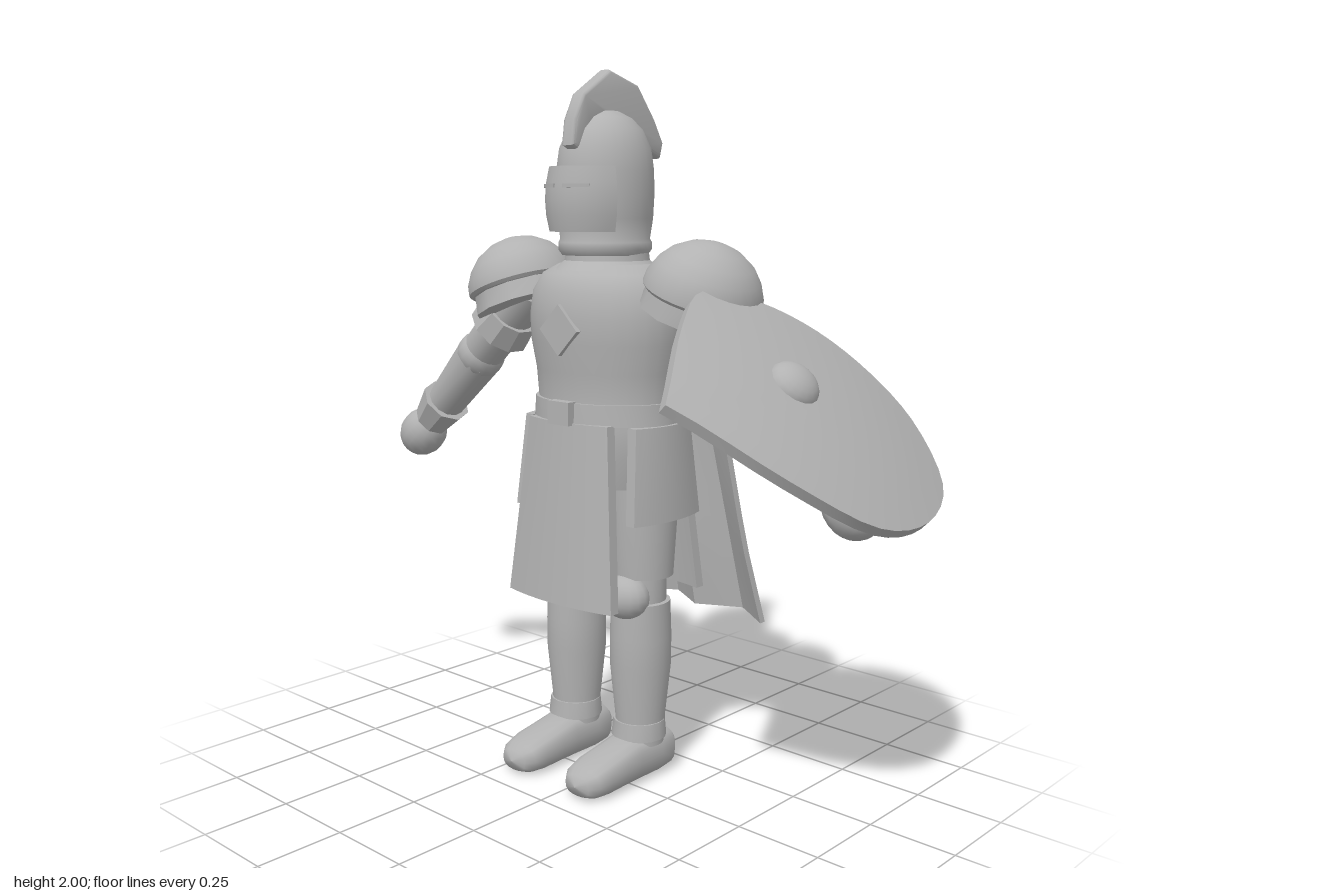
import * as THREE from 'three';
import { toCreasedNormals } from 'three/addons/utils/BufferGeometryUtils.js';

const steel = new THREE.MeshStandardMaterial({ color: 0xb2b2b2 });
steel.name = 'steel grey';
const lerp = THREE.MathUtils.lerp;
const V = (x, y, z) => new THREE.Vector3(x, y, z);

function add(parent, name, geo, pos = [0, 0, 0], scale = [1, 1, 1]) {
  const mesh = new THREE.Mesh(geo, steel);
  mesh.name = name;
  mesh.position.set(...pos);
  mesh.scale.set(...scale);
  parent.add(mesh);
  return mesh;
}

const crease = (geo, angle = 0.6) => toCreasedNormals(geo, angle);
const ball = () => new THREE.SphereGeometry(1, 16, 12);
const tube = (top, bottom, h, sides = 16) => crease(new THREE.CylinderGeometry(top, bottom, h, sides));
const lathe = (pts, angle = 0.7) =>
  crease(new THREE.LatheGeometry(pts.map(p => new THREE.Vector2(p[0], p[1])), 28), angle);

// Solid plate between two surfaces f(u, v); du x dv points outward on the outer one
function slab(outer, inner, nu, nv, angle = 0.5) {
  const pos = [];
  const grid = (f, n, m, flip) => {
    for (let i = 0; i < n; i++) for (let j = 0; j < m; j++) {
      const a = f(i / n, j / m), b = f((i + 1) / n, j / m);
      const c = f((i + 1) / n, (j + 1) / m), d = f(i / n, (j + 1) / m);
      for (const p of flip ? [a, c, b, a, d, c] : [a, b, c, a, c, d]) pos.push(p.x, p.y, p.z);
    }
  };
  const wall = (u, v, t) => inner(u, v).lerp(outer(u, v), t);
  grid(outer, nu, nv, false);
  grid(inner, nu, nv, true);
  grid((u, t) => wall(u, 0, t), nu, 1, false);
  grid((u, t) => wall(u, 1, t), nu, 1, true);
  grid((v, t) => wall(0, v, t), nv, 1, true);
  grid((v, t) => wall(1, v, t), nv, 1, false);
  const geo = new THREE.BufferGeometry();
  geo.setAttribute('position', new THREE.Float32BufferAttribute(pos, 3));
  return crease(geo, angle);
}

// Hanging skirt panel facing +z, wider and further out at the bottom
function skirtPanel(y0, y1, w0, w1, z0, z1, bow) {
  const f = off => (u, v) => {
    const k = 2 * u - 1;
    return V(k * lerp(w0, w1, v), lerp(y0, y1, v), lerp(z0, z1, v) - bow * k * k - off);
  };
  return slab(f(0), f(0.03), 8, 2);
}

// Curved face plate strip
function facePlate(a0, a1, y0, y1, out, thick, bow) {
  const f = off => (u, v) => {
    const a = lerp(a0, a1, u), b = out - off - bow * (2 * v - 1) ** 2;
    return V((0.135 + b) * Math.sin(a), lerp(y0, y1, v), 0.04 + (0.155 + b) * Math.cos(a));
  };
  return slab(f(0), f(thick), 12, 4);
}

// Shoe from rounded cross-sections along z: [z, half width, bottom, top]
function shoeGeometry() {
  const rows = [[-0.125, 0.001, 0.06, 0.061], [-0.118, 0.04, 0.02, 0.1], [-0.09, 0.063, 0.006, 0.125],
    [-0.03, 0.07, 0, 0.132], [0.06, 0.07, 0, 0.128], [0.12, 0.07, 0, 0.115], [0.19, 0.072, 0, 0.1],
    [0.235, 0.065, 0.003, 0.085], [0.26, 0.045, 0.012, 0.072], [0.27, 0.001, 0.04, 0.041]];
  const n = 16, pos = [], idx = [];
  rows.forEach(([z, w, lo, hi]) => {
    for (let i = 0; i < n; i++) {
      const a = i / n * Math.PI * 2, c = Math.cos(a), s = Math.sin(a);
      const q = x => Math.sign(x) * Math.abs(x) ** 0.75;
      pos.push(w * q(c), (lo + hi) / 2 + (hi - lo) / 2 * q(s), z);
    }
  });
  for (let r = 0; r < rows.length - 1; r++) for (let i = 0; i < n; i++) {
    const a = r * n + i, b = r * n + (i + 1) % n;
    idx.push(a, b, b + n, a, b + n, a + n);
  }
  const geo = new THREE.BufferGeometry();
  geo.setAttribute('position', new THREE.Float32BufferAttribute(pos, 3));
  geo.setIndex(idx);
  geo.computeVertexNormals();
  return geo;
}

function buildHead(g) {
  add(g, 'neckCollar', lathe([[0.15, 1.46], [0.12, 1.485], [0.115, 1.52]]));
  add(g, 'helmet', lathe([[0, 1.5], [0.115, 1.5], [0.125, 1.515], [0.125, 1.535], [0.12, 1.545], [0.128, 1.6],
    [0.131, 1.66], [0.13, 1.73], [0.122, 1.79], [0.1, 1.84], [0.07, 1.872], [0.035, 1.89], [0, 1.895]]),
  [0, 0, 0.008], [1, 1, 1.1]);
  add(g, 'visor', facePlate(-1.2, 1.2, 1.565, 1.74, 0, 0.02, 0.012));
  for (const s of [-1, 1])
    add(g, 'eyeSlit', facePlate(s * 0.4 - 0.28, s * 0.4 + 0.28, 1.683, 1.693, 0.002, 0.006, 0));
  const line = [[0.15, 1.8], [0.142, 1.86], [0.11, 1.925], [0.01, 1.99], [-0.1, 1.957], [-0.168, 1.87],
    [-0.203, 1.81], [-0.195, 1.78], [-0.13, 1.805], [-0.09, 1.84], [0, 1.87], [0.09, 1.84], [0.13, 1.79]];
  const crest = new THREE.ExtrudeGeometry(new THREE.Shape(line.map(p => new THREE.Vector2(...p))),
    { depth: 0.02, bevelThickness: 0.014, bevelSize: 0.01, bevelSegments: 3 });
  add(g, 'crest', crease(crest.translate(0, 0, -0.01).rotateY(-Math.PI / 2), 0.7));
}

function buildTorso(g) {
  add(g, 'breastplate', lathe([[0, 0.86], [0.19, 0.86], [0.215, 0.95], [0.222, 1.03], [0.215, 1.1], [0.222, 1.18],
    [0.238, 1.26], [0.242, 1.33], [0.232, 1.4], [0.2, 1.45], [0.15, 1.475], [0, 1.485]]), [0, 0, 0], [1, 1, 0.79]);
  add(g, 'belt', lathe([[0.215, 1.04], [0.228, 1.04], [0.224, 1.1], [0.212, 1.1]]), [0, 0, 0], [1, 1, 0.8]);
  add(g, 'buckle', new THREE.BoxGeometry(0.08, 0.065, 0.03), [0, 1.072, 0.185]);
  add(g, 'chestDiamond', new THREE.BoxGeometry(0.1, 0.1, 0.016), [0, 1.3, 0.19]).rotation.z = Math.PI / 4;
  for (const turn of [0, 1]) {
    add(g, turn ? 'backSkirt' : 'frontSkirt', skirtPanel(0.535, 1.045, 0.2, 0.15, 0.225, 0.187, 0.025))
      .rotation.y = turn * Math.PI;
    add(g, 'hipPlate', skirtPanel(0.775, 1.04, 0.14, 0.115, 0.255, 0.238, 0.025))
      .rotation.y = (turn - 0.5) * Math.PI;
  }
}

// Pleated cape, folds fading out toward the shoulders
function buildCape(g) {
  const f = off => (u, v) => {
    const t = 1 - v, k = 1 - 2 * u;
    const fold = Math.abs((u * 6) % 2 - 1);
    const depth = lerp(0.19, 0.35, t) - 0.075 * fold * Math.min(1, t * 1.3) - 0.025 * k * k;
    return V(k * lerp(0.2, 0.388, t), lerp(0.455, 1.475, v), -depth + off);
  };
  add(g, 'cape', slab(f(0), f(0.022), 12, 10, 0.35));
}

function buildArm(g, s) {
  const arm = new THREE.Group();
  arm.name = s > 0 ? 'leftArm' : 'rightArm';
  arm.position.set(s * 0.305, 1.4, 0);
  arm.rotation.z = s * 0.805;
  g.add(arm);
  add(arm, 'upperArm', tube(0.075, 0.068, 0.3), [0, -0.15, 0]);
  add(arm, 'armBand', tube(0.085, 0.1, 0.075, 10), [0, -0.155, 0]);
  add(arm, 'elbowGuard', ball(), [0, -0.32, 0], [0.076, 0.07, 0.076]);
  add(arm, 'forearm', tube(0.074, 0.058, 0.27, 12), [0, -0.465, 0]);
  add(arm, 'gauntletCuff', tube(0.08, 0.06, 0.1, 8), [0, -0.605, 0]);
  add(arm, 'hand', ball(), [0, -0.72, 0], [0.075, 0.085, 0.075]);

  const shoulder = new THREE.Group();
  shoulder.name = 'pauldron';
  shoulder.position.set(s * 0.34, 1.395, 0);
  shoulder.rotation.z = -s * 0.35;
  g.add(shoulder);
  const dome = lathe([[0, -0.01], [0.95, -0.01], [1, 0.05], [0.98, 0.25], [0.87, 0.5], [0.7, 0.72], [0.44, 0.9],
    [0.2, 0.98], [0, 1]]);
  add(shoulder, 'shoulderDome', dome, [0, 0, 0], [0.16, 0.152, 0.168]);
  add(shoulder, 'shoulderRim', tube(0.15, 0.158, 0.06, 12), [0, -0.025, 0]);
}

function buildLeg(g, s) {
  const leg = new THREE.Group();
  leg.name = s > 0 ? 'leftLeg' : 'rightLeg';
  leg.position.x = s * 0.128;
  g.add(leg);
  add(leg, 'thigh', lathe([[0, 0.6], [0.088, 0.6], [0.097, 0.75], [0.1, 0.92], [0, 0.95]]), [0, 0, -0.012]);
  add(leg, 'kneeJoint', tube(0.07, 0.07, 0.14), [0, 0.56, -0.01]);
  add(leg, 'kneeGuard', ball(), [0, 0.545, 0.06], [0.075, 0.065, 0.06]);
  add(leg, 'shin', lathe([[0, 0.1], [0.069, 0.1], [0.071, 0.18], [0.086, 0.33], [0.087, 0.42], [0.083, 0.525],
    [0, 0.53]]), [0, 0, -0.005], [1, 1, 1.05]);
  add(leg, 'ankleBand', tube(0.075, 0.08, 0.05), [0, 0.145, 0]);
  add(leg, 'shoe', shoeGeometry());
}

// Pointed, domed shield: outline in (across, along) with the tip toward the front
function buildShield(g) {
  const half = pts => new THREE.CatmullRomCurve3(pts.map(p => V(p[0], p[1], 0)), false, 'centripetal');
  const edge = half([[-0.02, 0.435], [-0.23, 0.21], [-0.33, 0.04], [-0.275, -0.14], [-0.16, -0.29], [-0.01, -0.39],
    [0.15, -0.435], [0.35, -0.365], [0.44, -0.17], [0.42, 0.04], [0.25, 0.245], [-0.02, 0.435]]);
  const h = Math.SQRT1_2;
  const f = off => (u, v) => {
    const e = edge.getPoint(u);
    const a = lerp(0.06, e.x, v), z = lerp(0, e.y, v);
    const d = 0.022 - off - 0.24 * ((a - 0.06) ** 2 + z * z);
    return V(0.63 + h * (a + d), 1.2 + h * (d - a), z);
  };
  const shield = new THREE.Group();
  shield.name = 'shield';
  g.add(shield);
  add(shield, 'shieldPlate', slab(f(0), f(0.028), 44, 6));
  add(shield, 'shieldBoss', ball(), [0.64, 1.2, 0.005], [0.07, 0.05, 0.075]).rotation.z = -Math.PI / 4;
}

export function createModel() {
  const model = new THREE.Group();
  model.name = 'armouredKnight';
  const body = new THREE.Group();
  body.name = 'body';
  body.position.set(-0.056, 0, -0.08);
  model.add(body);
  buildHead(body);
  buildTorso(body);
  buildCape(body);
  for (const s of [-1, 1]) {
    buildArm(body, s);
    buildLeg(body, s);
  }
  buildShield(model);
  return model;
}
